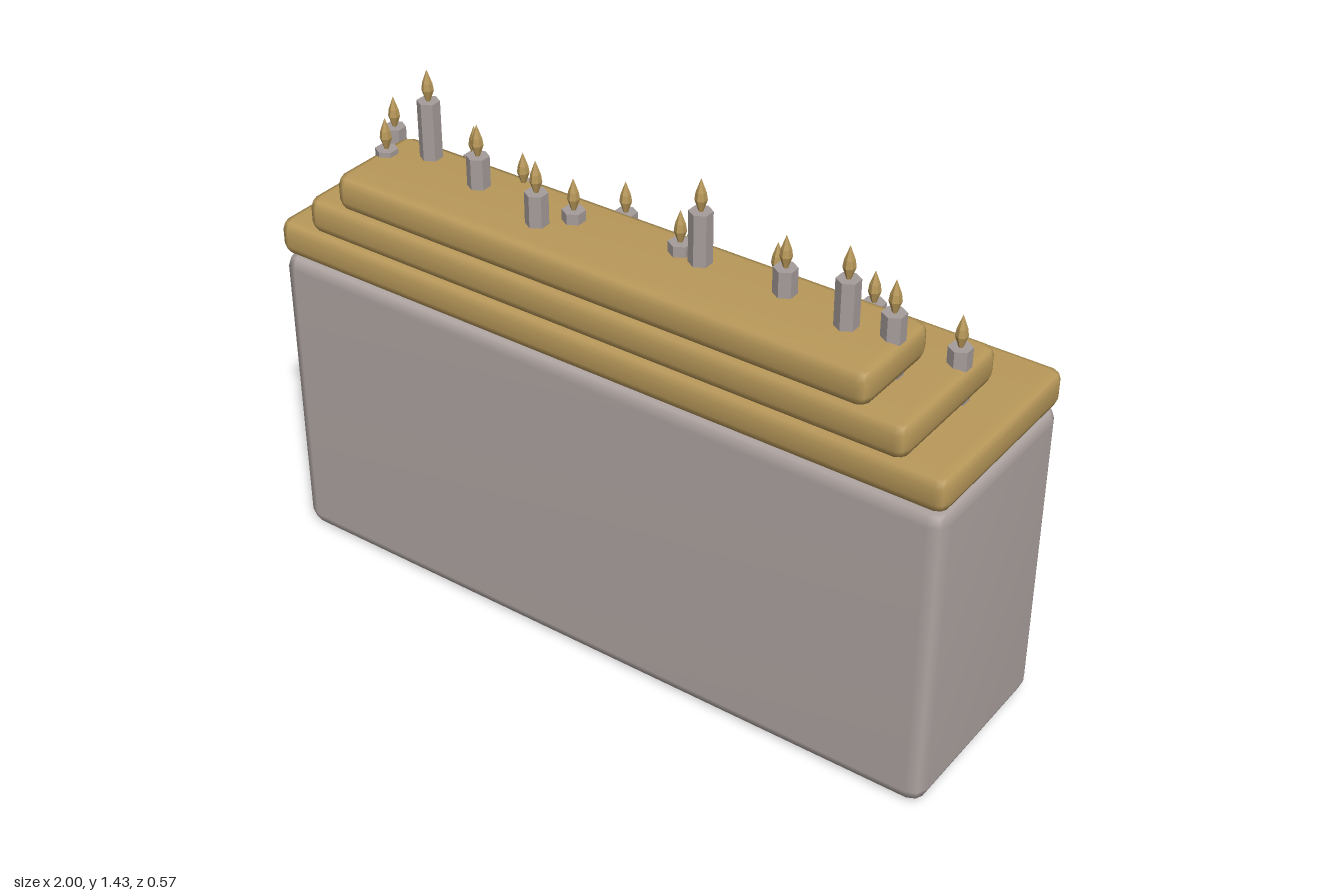
import * as THREE from 'three';
import { mergeVertices } from 'three/addons/utils/BufferGeometryUtils.js';

// Box with two-step rounded edges and smooth normals
function softBox(w, h, d, r) {
  const geo = new THREE.BoxGeometry(1, 1, 1, 3, 3, 3);
  geo.deleteAttribute('uv');
  geo.deleteAttribute('normal');
  const pos = geo.attributes.position;
  const core = new THREE.Vector3(w / 2 - r, h / 2 - r, d / 2 - r);
  const p = new THREE.Vector3();
  for (let i = 0; i < pos.count; i++) {
    p.fromBufferAttribute(pos, i);
    const sign = new THREE.Vector3(Math.sign(p.x), Math.sign(p.y), Math.sign(p.z));
    // only the outer grid lines are pushed out from the core
    const push = new THREE.Vector3(
      Math.abs(p.x) > 0.4 ? sign.x : 0,
      Math.abs(p.y) > 0.4 ? sign.y : 0,
      Math.abs(p.z) > 0.4 ? sign.z : 0
    ).setLength(r);
    p.copy(sign).multiply(core).add(push);
    pos.setXYZ(i, p.x, p.y, p.z);
  }
  const merged = mergeVertices(geo, 1e-4);
  merged.computeVertexNormals();
  return merged;
}

export function createModel() {
  const group = new THREE.Group();
  const stone = new THREE.MeshStandardMaterial({ name: 'warm grey stone', color: 0xaea4a1 });
  const gold = new THREE.MeshStandardMaterial({ name: 'gold', color: 0xb9995a });
  const wax = new THREE.MeshStandardMaterial({ name: 'grey wax', color: 0xa69d9c });
  wax.flatShading = true;
  const fire = gold.clone();
  fire.name = 'gold flame';
  fire.flatShading = true;

  // Block and stepped tiers, all flush at the front
  const front = 0.285;
  function slab(name, halfWidth, y0, y1, back, r, material) {
    const mesh = new THREE.Mesh(softBox(halfWidth * 2, y1 - y0, front - back, r), material);
    mesh.name = name;
    mesh.position.set(0, (y0 + y1) / 2, (front + back) / 2);
    group.add(mesh);
  }
  slab('block', 1, 0, 0.885, -0.285, 0.042, stone);
  slab('lowerTier', 1, 0.882, 0.985, -0.285, 0.03, gold);
  slab('middleTier', 0.89, 0.984, 1.086, -0.143, 0.03, gold);
  slab('upperTier', 0.785, 1.084, 1.186, 0, 0.03, gold);

  // Candles are one length, sunk into the tiers: [x, z, height of wax top]
  const candles = [
    [-0.86, -0.035, 1.165], [-0.615, -0.067, 1.14], [-0.127, -0.064, 1.135],
    [0.12, 0, 1.13], [0.365, 0, 1.16], [0.61, -0.037, 1.15], [0.855, -0.015, 1.13],
    [-0.75, 0.12, 1.2], [-0.645, 0.068, 1.345], [-0.45, 0.115, 1.27],
    [-0.37, 0.037, 1.184], [-0.215, 0.18, 1.272], [-0.152, 0.115, 1.215],
    [0.147, 0.09, 1.215], [0.212, 0.1, 1.325], [0.45, 0.1, 1.255],
    [0.64, 0.137, 1.31], [0.75, 0.115, 1.25],
  ];
  const length = 0.18;
  const waxGeo = new THREE.CylinderGeometry(0.03, 0.03, length, 6).translate(0, -length / 2, 0);
  const flameProfile = [[0, 0], [0.006, 0], [0.016, 0.03], [0.013, 0.05], [0, 0.086]];
  const flameGeo = new THREE.LatheGeometry(flameProfile.map(([r, y]) => new THREE.Vector2(r, y)), 6);
  for (const [x, z, top] of candles) {
    const candle = new THREE.Group();
    candle.name = 'candle';
    const stick = new THREE.Mesh(waxGeo, wax);
    stick.name = 'waxStick';
    const flame = new THREE.Mesh(flameGeo, fire);
    flame.name = 'flame';
    candle.add(stick, flame);
    candle.position.set(x, top, z);
    group.add(candle);
  }
  return group;
}
